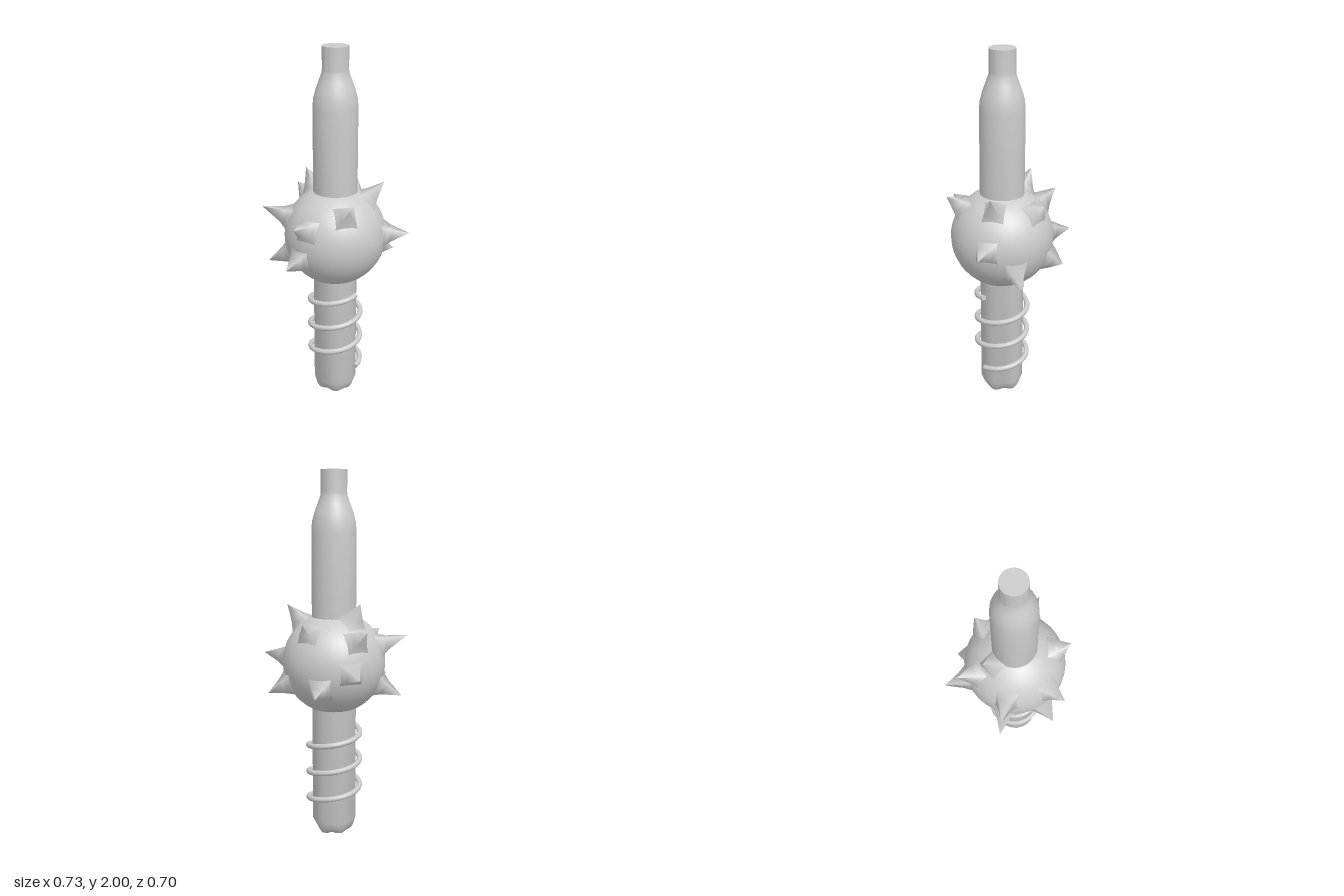
import * as THREE from 'three';
import { toCreasedNormals } from 'three/addons/utils/BufferGeometryUtils.js';

const AXIS_Z = -0.03;
const BALL_Y = 0.97;
const BALL_R = 0.28;

// Spike tips, measured from the centre of the ball
const SPIKE_TIPS = [
  [-0.165, -0.13, -0.30], [0.18, -0.15, -0.32], [-0.365, -0.02, -0.175],
  [0.365, 0.03, -0.185], [-0.33, 0.21, -0.09], [-0.21, 0.34, -0.015],
  [0.225, 0.31, -0.135], [-0.04, 0.24, -0.27], [-0.32, 0.16, 0.235],
  [0.23, 0.24, 0.19], [0.01, 0.14, 0.375], [-0.055, -0.11, 0.365],
  [-0.31, -0.17, 0.205],
];

export function createModel() {
  const model = new THREE.Group();
  model.name = 'spikedRod';
  const material = new THREE.MeshStandardMaterial({ color: 0xcccccc });

  const add = (parent, name, geometry) => {
    const mesh = new THREE.Mesh(geometry, material);
    mesh.name = name;
    parent.add(mesh);
    return mesh;
  };

  // Turned shaft with a chamfered foot and a narrow neck
  const profile = [
    [0, 0.005], [0.075, 0.005], [0.09, 0.015], [0.102, 0.035], [0.12, 0.075],
    [0.12, 1.68], [0.116, 1.73], [0.104, 1.775], [0.086, 1.825], [0.071, 1.865],
    [0.07, 1.88], [0.07, 2], [0, 2],
  ].map(([r, y]) => new THREE.Vector2(r, y));
  const shaftGeometry = new THREE.LatheGeometry(profile, 48);

  // Worn, slightly uneven foot
  const p = shaftGeometry.attributes.position;
  for (let i = 0; i < p.count; i++) {
    const x = p.getX(i), y = p.getY(i), z = p.getZ(i);
    if (y < 0.07 && Math.hypot(x, z) > 0.01) {
      const a = Math.atan2(z, x);
      const k = 1 + 0.05 * Math.sin(3 * a + 1);
      p.setXYZ(i, x * k, Math.max(0, y + 0.008 * Math.sin(5 * a) - 0.003), z * k);
    }
  }
  add(model, 'shaft', toCreasedNormals(shaftGeometry, 0.7)).position.z = AXIS_Z;

  // Ball with spikes pulled out of its surface
  const head = new THREE.Group();
  head.name = 'spikedBall';
  head.position.set(0, BALL_Y, AXIS_Z);
  model.add(head);
  add(head, 'ball', new THREE.SphereGeometry(BALL_R, 32, 24));

  const base = 0.24;
  for (const tip of SPIKE_TIPS) {
    const direction = new THREE.Vector3(...tip);
    const length = direction.length() - base;
    // Four-sided spike with a flared root, standing along +z
    const outline = [[0.105, 0], [0.076, 0.036], [0.05, 0.07], [0.0005, length]]
      .map(([r, h]) => new THREE.Vector2(r, h));
    const geometry = new THREE.LatheGeometry(outline, 4);
    geometry.rotateY(Math.PI / 4);
    geometry.rotateX(Math.PI / 2);
    geometry.translate(0, 0, base);
    const spike = add(head, 'spike', geometry);
    spike.quaternion.setFromRotationMatrix(
      new THREE.Matrix4().lookAt(direction, new THREE.Vector3(), new THREE.Vector3(0, 1, 0)));
  }

  // Loose wire coil: three turns rising from the left side round the back
  const TURNS = 3, COIL_R = 0.142, WIRE_R = 0.015, Y0 = 0.175, Y1 = 0.632;
  const points = [];
  for (let i = 0; i <= TURNS * 24; i++) {
    const t = i / (TURNS * 24);
    const a = t * TURNS * Math.PI * 2;
    points.push(new THREE.Vector3(
      COIL_R * Math.cos(a), Y0 + (Y1 - Y0) * t, -COIL_R * Math.sin(a)));
  }
  const curve = new THREE.CatmullRomCurve3(points);
  const coil = new THREE.Group();
  coil.name = 'coil';
  coil.position.z = AXIS_Z;
  model.add(coil);
  add(coil, 'wire', new THREE.TubeGeometry(curve, 160, WIRE_R, 10));

  // Flat caps on the wire ends
  for (const [t, sign] of [[0, -1], [1, 1]]) {
    const cap = add(coil, 'wireEnd', new THREE.CircleGeometry(WIRE_R, 10));
    cap.position.copy(curve.getPointAt(t));
    cap.quaternion.setFromUnitVectors(
      new THREE.Vector3(0, 0, 1), curve.getTangentAt(t).multiplyScalar(sign));
  }

  return model;
}
